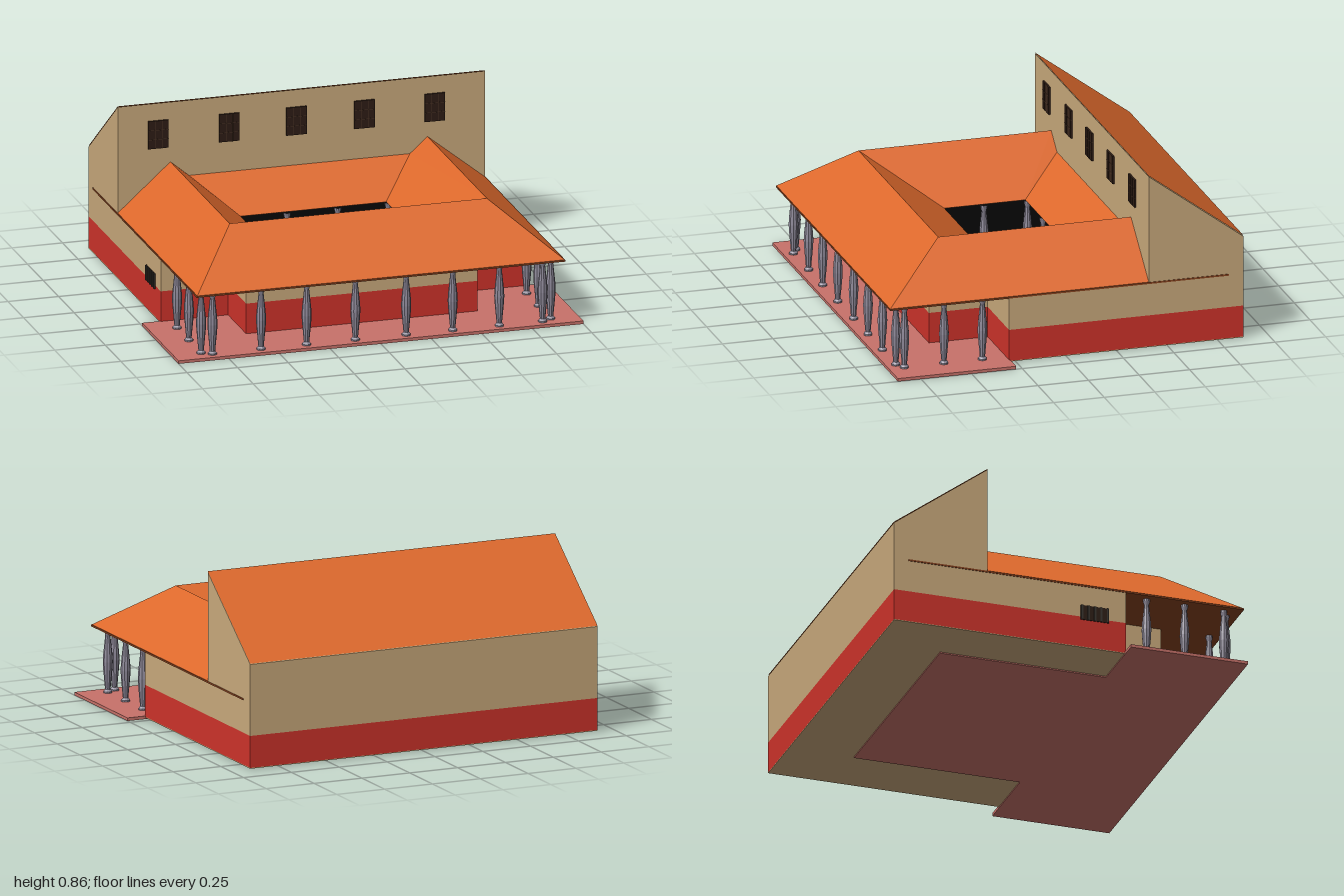
import * as THREE from 'three';

const mat = (color, side = THREE.FrontSide) =>
  new THREE.MeshStandardMaterial({ color, side, flatShading: true });
const TAN = mat(0xcbab7d), RED = mat(0xd0332b), PINK = mat(0xc8726a);
const ROOF = mat(0xde692c, THREE.DoubleSide), EAVE = mat(0x8a4420);
const STONE = mat(0x8f8a9a), WOOD = mat(0x2e1d15), BAR = mat(0x4d3526);
const DARK = mat(0x080808, THREE.DoubleSide), IRON = mat(0x3a3630);

// Main dimensions
const L = -0.91, R = 0.905, BACK = -0.873, MID = -0.405, EAVE_Y = 0.332, RIDGE_Y = 0.562;

export function createModel() {
  const model = new THREE.Group();

  const add = (name, geo, material, x = 0, y = 0, z = 0, parent = model) => {
    const m = new THREE.Mesh(geo, material);
    m.name = name;
    m.position.set(x, y, z);
    parent.add(m);
    return m;
  };
  const box = (name, material, x0, x1, y0, y1, z0, z1, parent) =>
    add(name, new THREE.BoxGeometry(x1 - x0, y1 - y0, z1 - z0), material,
      (x0 + x1) / 2, (y0 + y1) / 2, (z0 + z1) / 2, parent);
  const rect = (x0, x1, z0, z1) => [[x0, z0], [x1, z0], [x1, z1], [x0, z1]];
  const toPoints = (pts) => pts.map(([x, z]) => new THREE.Vector2(x, -z));

  // Floor plan given as x, z corners, raised from y0 to y1
  const raise = (name, material, plan, y0, y1, hole) => {
    const shape = new THREE.Shape(toPoints(plan));
    if (hole) shape.holes.push(new THREE.Path(toPoints(hole)));
    const geo = new THREE.ExtrudeGeometry(shape, { depth: y1 - y0, bevelEnabled: false });
    geo.rotateX(-Math.PI / 2);
    return add(name, geo, material, 0, y0, 0);
  };
  // Flat convex panel through its corners
  const panel = (name, material, pts) => {
    const index = [];
    for (let i = 1; i < pts.length - 1; i++) index.push(0, i, i + 1);
    const geo = new THREE.BufferGeometry();
    geo.setAttribute('position', new THREE.Float32BufferAttribute(pts.flat(), 3));
    geo.setIndex(index);
    geo.computeVertexNormals();
    return add(name, geo, material);
  };

  // Paved terrace, continuing under the house as the courtyard floor
  raise('terrace', PINK, [[-1, 0.28], [-0.64, 0.28], [-0.64, -0.55], [0.6, -0.55],
    [0.6, 0.28], [1, 0.28], [1, 0.865], [-1, 0.865]], 0, 0.015);

  // Walls: red plinth band and plaster above, around an open courtyard
  const court = rect(-0.64, 0.6, MID, 0.28);
  const houseFront = [[R, 0.286], [0.565, 0.286], [0.565, 0.577],
    [-0.578, 0.577], [-0.578, 0.286], [L, 0.286]];
  const house = [[L, BACK], [R, BACK], ...houseFront];
  raise('floorSlab', TAN, house, 0.006, 0.01);
  raise('lowerWalls', RED, house, 0.01, 0.165, court);
  raise('upperWalls', TAN, [[L, -0.5], [R, -0.5], ...houseFront], 0.165, 0.324, court);

  // Dark courtyard lining
  const lining = [[-0.637, MID + 0.003], [0.597, MID + 0.003], [0.597, 0.277], [-0.637, 0.277]];
  lining.forEach(([x, z], i) => {
    const [x2, z2] = lining[(i + 1) % 4];
    panel('courtyardWall', DARK, [[x, 0.015, z], [x2, 0.015, z2], [x2, 0.325, z2], [x, 0.325, z]]);
  });

  // Tall rear wing with a single sloping roof
  const side = new THREE.Shape([[-BACK, 0.165], [-BACK, 0.512], [-MID, 0.86], [-MID, 0.165]]
    .map(([a, b]) => new THREE.Vector2(a, b)));
  const wing = new THREE.ExtrudeGeometry(side, { depth: R - L, bevelEnabled: false });
  wing.rotateY(Math.PI / 2);
  add('rearWing', wing, TAN, L, 0, 0);
  panel('rearRoof', ROOF, [[L, 0.864, MID], [R, 0.864, MID], [R, 0.516, BACK - 0.001], [L, 0.516, BACK - 0.001]]);

  // Ring roof: outer slopes rise to the ridge, inner slopes fall to the opening
  const E = EAVE_Y, T = RIDGE_Y, rl = -0.65, rr = 0.62, rz = 0.548, F = 0.873;
  const ol = -0.37, or = 0.35, ob = -0.19, of = 0.21;
  panel('frontRoof', ROOF, [[L, E, F], [R, E, F], [rr, T, rz], [rl, T, rz]]);
  panel('leftRoof', ROOF, [[R, E, F], [R, E, MID], [rr, T, MID], [rr, T, rz]]);
  panel('rightRoof', ROOF, [[L, E, MID], [L, E, F], [rl, T, rz], [rl, T, MID]]);
  panel('innerFrontRoof', ROOF, [[rl, T, rz], [rr, T, rz], [or, E, of], [ol, E, of]]);
  panel('innerLeftRoof', ROOF, [[rr, T, rz], [rr, T, MID], [0.533, 0.485, MID], [or, E, ob], [or, E, of]]);
  panel('innerRightRoof', ROOF, [[rl, T, MID], [rl, T, rz], [ol, E, of], [ol, E, ob], [-0.558, 0.485, MID]]);
  panel('innerBackRoof', ROOF, [[ol, E, ob], [or, E, ob], [0.533, 0.485, MID], [-0.558, 0.485, MID]]);
  raise('eaveBoard', EAVE, rect(L - 0.003, R + 0.003, -0.8, F + 0.002), 0.323, 0.331, rect(ol, or, ob, of));

  // Swelling stone columns
  const columnGeo = new THREE.LatheGeometry([[0, 0.015], [0.021, 0.015], [0.021, 0.022], [0.013, 0.032],
    [0.022, 0.13], [0.024, 0.165], [0.022, 0.2], [0.012, 0.295], [0.017, 0.312], [0.017, 0.324]]
    .map(([r, y]) => new THREE.Vector2(r, y)), 10);
  const column = (name, x, z) => add(name, columnGeo, STONE, x, 0, z);
  for (const x of [-0.818, -0.578, -0.353, -0.112, 0.139, 0.369, 0.599, 0.813]) column('frontColumn', x, 0.817);
  for (const z of [0.79, 0.594, 0.404]) for (const x of [-0.866, 0.861]) column('sideColumn', x, z);
  for (let i = 0; i < 4; i++)
    for (const z of [-0.205, 0.225]) column('courtyardColumn', -0.385 + i * 0.25, z);
  for (const x of [-0.385, 0.365]) column('courtyardColumn', x, 0.01);

  // Upper windows with glazing bars
  for (const x of [-0.711, -0.361, -0.029, 0.307, 0.655]) {
    const w = new THREE.Group();
    w.name = 'upperWindow';
    w.position.set(x, 0.706, MID);
    model.add(w);
    box('windowPanel', WOOD, -0.05, 0.05, -0.069, 0.069, -0.005, 0.009, w);
    for (const bx of [-0.017, 0.017]) box('glazingBar', BAR, bx - 0.001, bx + 0.001, -0.069, 0.069, 0, 0.0105, w);
    for (const by of [-0.023, 0.023]) box('glazingBar', BAR, -0.05, 0.05, by - 0.001, by + 0.001, 0, 0.0105, w);
  }

  // Barred window in the right wall
  box('sideWindow', WOOD, L - 0.003, L + 0.005, 0.15, 0.225, 0.06, 0.2);
  for (let i = 0; i < 5; i++) {
    const z = 0.066 + i * 0.032;
    box('windowBar', IRON, L - 0.008, L, 0.15, 0.225, z - 0.005, z + 0.005);
  }
  return model;
}
